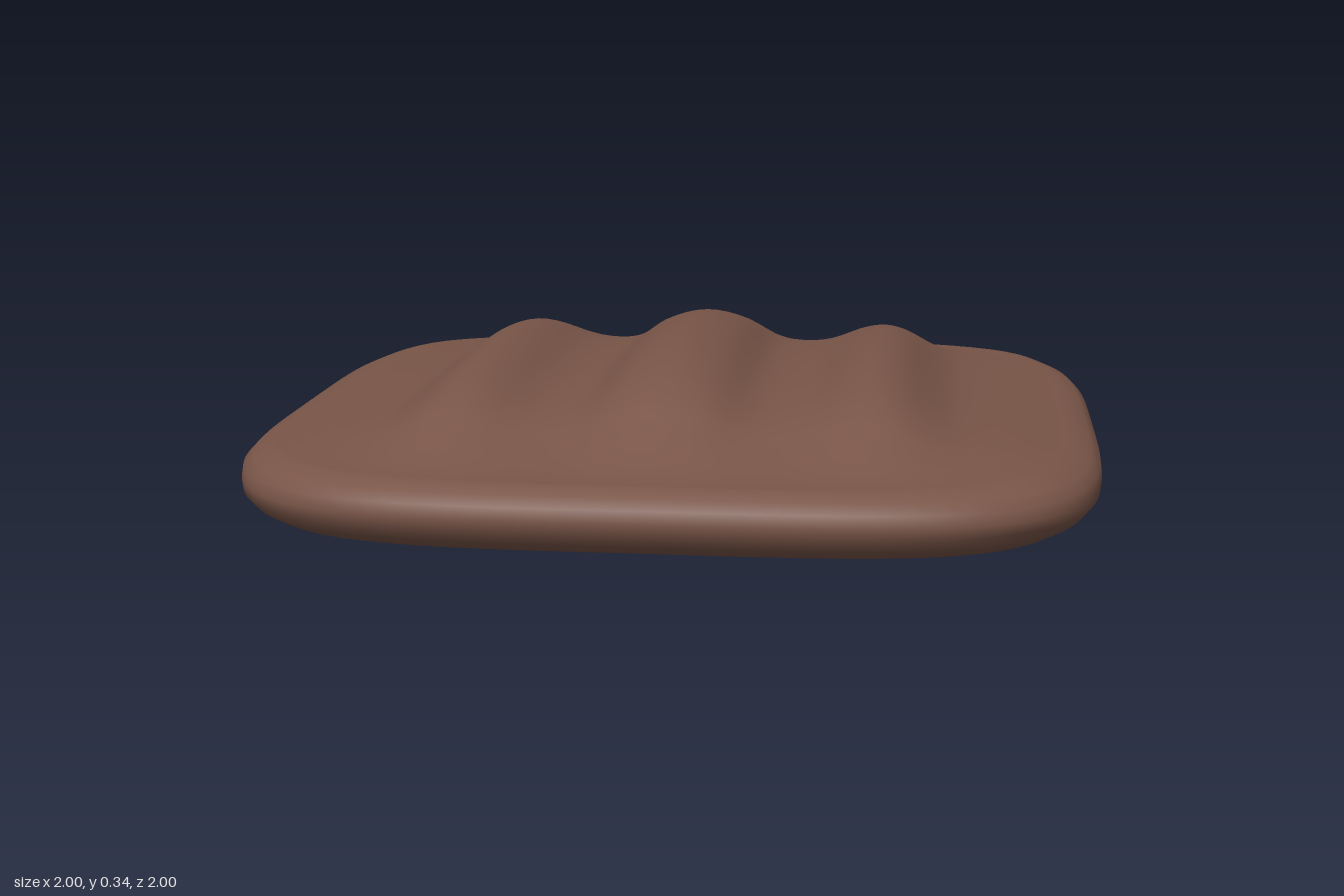
import * as THREE from 'three';
import { mergeVertices } from 'three/addons/utils/BufferGeometryUtils.js';

// Smooth interpolation through [position, value] pairs
function curve(points) {
  const slope = i => {
    if (i === 0 || i === points.length - 1) return 0;
    const [a, b] = [points[i - 1], points[i + 1]];
    return (b[1] - a[1]) / (b[0] - a[0]);
  };
  return t => {
    const last = points.length - 1;
    if (t >= points[last][0]) return points[last][1];
    let i = 0;
    while (t > points[i + 1][0]) i++;
    const [x0, y0] = points[i], [x1, y1] = points[i + 1];
    const w = x1 - x0, u = (t - x0) / w, u2 = u * u, u3 = u2 * u;
    return (2 * u3 - 3 * u2 + 1) * y0 + (u3 - 2 * u2 + u) * w * slope(i)
      + (3 * u2 - 2 * u3) * y1 + (u3 - u2) * w * slope(i + 1);
  };
}

// Height of the ridges across the width, and how they fade towards both ends
const ridges = curve([[0, 0.195], [0.1, 0.168], [0.19, 0.105], [0.27, 0.093], [0.33, 0.105],
  [0.41, 0.143], [0.47, 0.155], [0.53, 0.137], [0.6, 0.085], [0.66, 0.048], [0.8, 0.02], [0.94, 0]]);
const fade = curve([[0, 1], [0.25, 0.96], [0.47, 0.82], [0.6, 0.63], [0.7, 0.38], [0.84, 0.08], [0.94, 0]]);

export function createModel() {
  const brown = new THREE.MeshStandardMaterial({ color: 0x795548 });
  brown.name = 'brown';

  // Rounded slab profile, from the middle of the base round to the middle of the top
  const profile = [[0, 0], [0.5, 0], [0.85, 0], [0.94, 0.002], [0.975, 0.025], [0.998, 0.055],
    [1, 0.08], [0.996, 0.108], [0.975, 0.13], [0.94, 0.145]].map(p => new THREE.Vector2(...p));
  const rings = 44;
  for (let i = rings - 1; i >= 0; i--) profile.push(new THREE.Vector2(0.94 * i / rings, 0.145));

  let geometry = new THREE.LatheGeometry(profile, 128);
  const pos = geometry.attributes.position;
  const n = 4.2;
  for (let i = 0; i < pos.count; i++) {
    const x = pos.getX(i), y = pos.getY(i), z = pos.getZ(i);
    const r = Math.hypot(x, z);
    // Turn the round outline into a square with soft corners
    const k = r > 1e-6 ? r / (Math.abs(x) ** n + Math.abs(z) ** n) ** (1 / n) : 0;
    const px = x * k, pz = z * k;
    // Raise the three long ridges on the top
    const lift = y > 0.14 ? ridges(Math.abs(px)) * fade(Math.abs(pz)) : 0;
    pos.setXYZ(i, px, y + lift, pz);
  }
  geometry.deleteAttribute('uv');
  geometry.deleteAttribute('normal');
  geometry = mergeVertices(geometry, 1e-5);
  geometry.computeVertexNormals();

  const slab = new THREE.Mesh(geometry, brown);
  slab.name = 'ridgedSlab';
  const group = new THREE.Group();
  group.name = 'ridgedMound';
  group.add(slab);
  return group;
}
